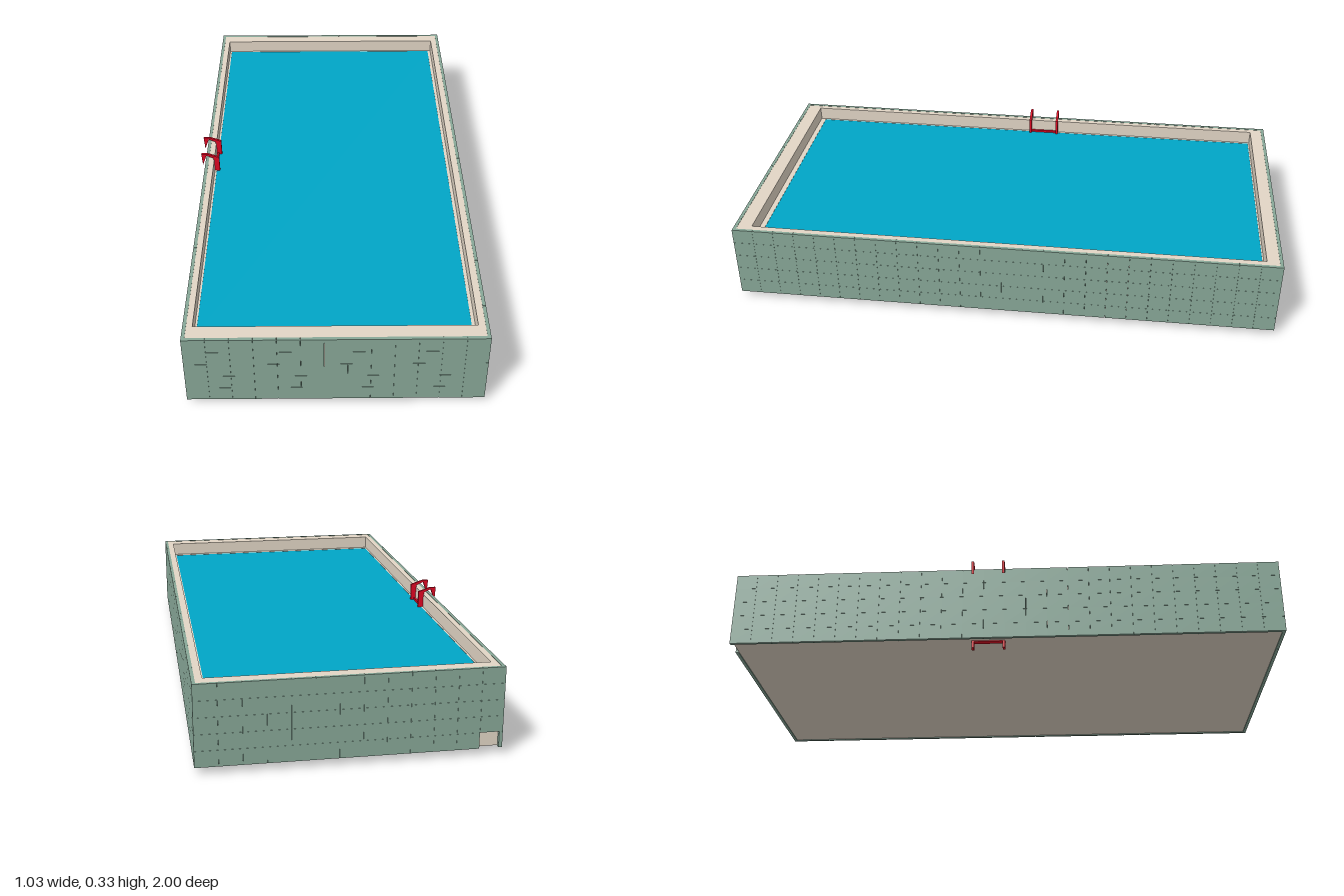
import * as THREE from 'three';
import { mergeGeometries } from 'three/addons/utils/BufferGeometryUtils.js';

const X0 = -0.498, X1 = 0.511, Y0 = 0.025, Y1 = 0.305; // outer limits of the tiled basin
const TILE = 0.012, GAP = 0.0004;

const mat = (name, color) => {
  const m = new THREE.MeshStandardMaterial({ color });
  m.name = name;
  return m;
};

// Rectangular frame lying flat between heights y0 and y1
function frame(outer, inner, y0, y1) {
  const trace = (path, [x0, x1, z0, z1]) => {
    path.moveTo(x0, -z1);
    path.lineTo(x1, -z1);
    path.lineTo(x1, -z0);
    path.lineTo(x0, -z0);
    path.closePath();
    return path;
  };
  const shape = trace(new THREE.Shape(), outer);
  shape.holes.push(trace(new THREE.Path(), inner));
  const g = new THREE.ExtrudeGeometry(shape, { depth: y1 - y0, bevelEnabled: false });
  return g.rotateX(-Math.PI / 2).translate(0, y0, 0);
}

const box = (x0, x1, y0, y1, z0, z1) =>
  new THREE.BoxGeometry(x1 - x0, y1 - y0, z1 - z0)
    .translate((x0 + x1) / 2, (y0 + y1) / 2, (z0 + z1) / 2);

export function createModel() {
  const model = new THREE.Group();
  const green = mat('tileGreen', 0x88a898);
  const beige = mat('plasterBeige', 0xe2d6c6);
  const blue = mat('waterBlue', 0x00a6c7);
  const red = mat('ladderRed', 0xe00622);

  const add = (name, geometry, material, parent = model) => {
    const mesh = new THREE.Mesh(geometry, material);
    mesh.name = name;
    parent.add(mesh);
  };

  // Plaster basin: walls, ledge at the waterline, floor set slightly above the tile edge
  const shell = [X0 + TILE, X1 - TILE, -1 + TILE, 1 - TILE];
  const opening = [-0.465, 0.475, -0.943, 0.935];
  const pool = [-0.458, 0.463, -0.938, 0.915];
  const base = Y0 + 0.003;
  add('basinWalls', frame(shell, opening, base, Y1 - 0.001), beige);
  add('waterlineLedge', frame(opening, pool, 0.235, 0.253), beige);
  add('basinFloor', box(opening[0], opening[1], base, 0.05, opening[2], opening[3]), beige);
  add('water', box(pool[0], pool[1], 0.24, 0.252, pool[2], pool[3]), blue);

  // Cladding: five rows of tiles with hairline joints on each wall
  const ROWS = 5, ACROSS = 13, ALONG = 26;
  const h = (Y1 - Y0) / ROWS, w = (X1 - X0) / ACROSS, d = 2 / ALONG, e = GAP / 2;
  const walls = { frontTiles: [], backTiles: [], leftTiles: [], rightTiles: [] };
  for (let r = 0; r < ROWS; r++) {
    const a = Y0 + r * h + (r ? e : 0);
    const b = Y0 + (r + 1) * h - (r < ROWS - 1 ? e : 0);
    for (let i = 0; i < ACROSS; i++) {
      // end tiles stop short of the side cladding
      const x0 = i ? X0 + i * w + e : X0 + TILE;
      const x1 = i < ACROSS - 1 ? X0 + (i + 1) * w - e : X1 - TILE;
      walls.frontTiles.push(box(x0, x1, a, b, 1 - TILE, 1));
      // one tile is missing at the lower corner of the back wall
      if (r || i) walls.backTiles.push(box(x0, x1, a, b, -1, -1 + TILE));
    }
    for (let i = 0; i < ALONG; i++) {
      const z0 = -1 + i * d + (i ? e : 0);
      const z1 = -1 + (i + 1) * d - (i < ALONG - 1 ? e : 0);
      walls.leftTiles.push(box(X1 - TILE, X1, a, b, z0, z1));
      walls.rightTiles.push(box(X0, X0 + TILE, a, b, z0, z1));
    }
  }
  for (const [name, tiles] of Object.entries(walls)) add(name, mergeGeometries(tiles), green);

  // Ladder: two flat rails hooked over the right wall, joined by rungs
  const ladder = new THREE.Group();
  ladder.name = 'ladder';
  model.add(ladder);
  const rail = new THREE.Shape([
    [-0.468, 0], [-0.445, 0], [-0.445, 0.315], [-0.49, 0.331], [-0.515, 0.331],
    [-0.511, 0.28], [-0.495, 0.324], [-0.468, 0.312],
  ].map(([x, y]) => new THREE.Vector2(x, y)));
  const T = 0.009;
  for (const z of [-0.117, -0.004]) {
    const g = new THREE.ExtrudeGeometry(rail, { depth: T, bevelEnabled: false });
    add('ladderRail', g.translate(0, 0, z - T / 2), red, ladder);
  }
  for (const y of [0.07, 0.132, 0.194, 0.256]) {
    add('ladderRung', box(-0.464, -0.456, y - 0.004, y + 0.004, -0.117, -0.004), red, ladder);
  }
  // Lowest step, level with the underside of the basin
  add('ladderBottomStep', box(-0.468, -0.445, Y0, 0.034, -0.117, -0.004), red, ladder);
  return model;
}
